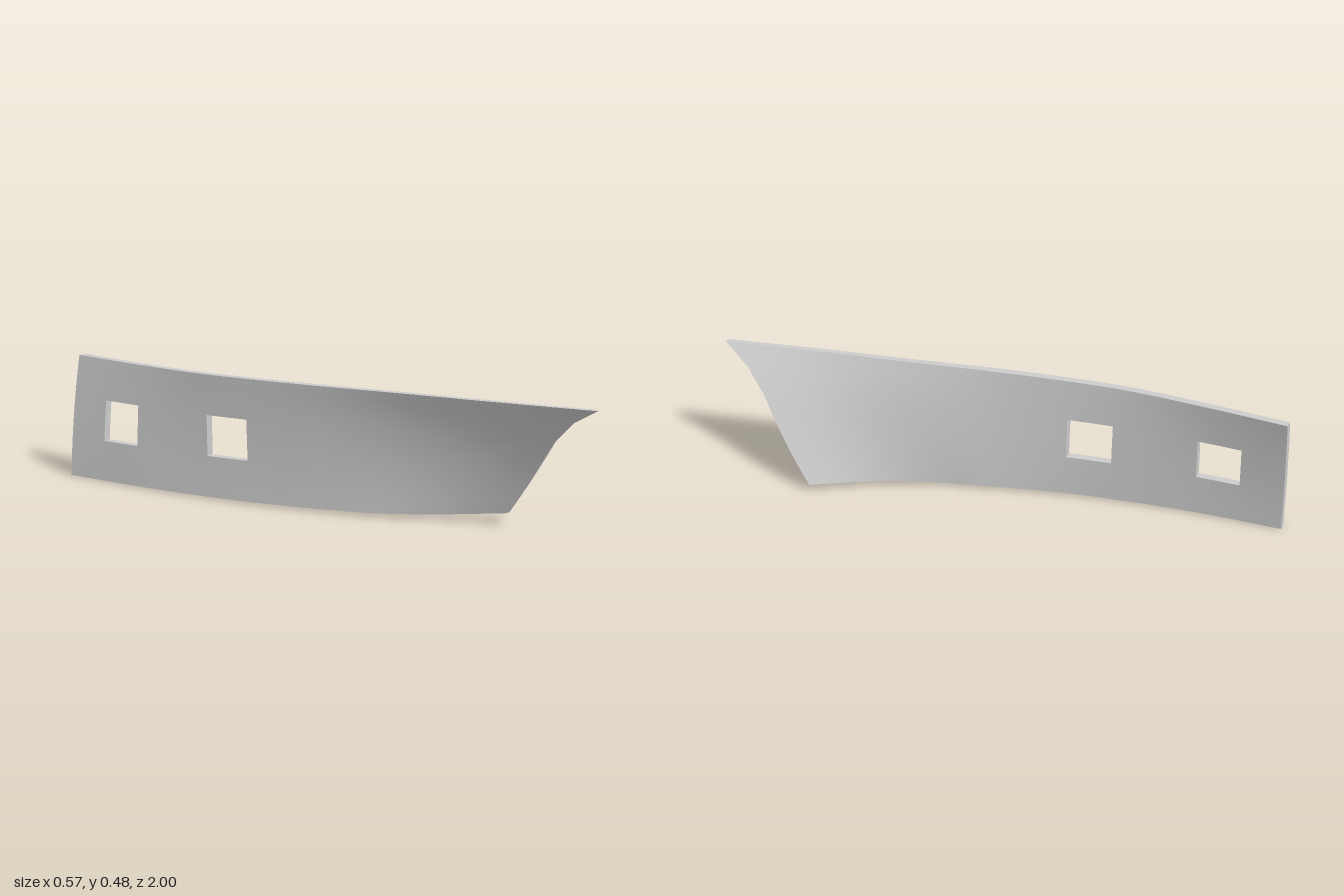
import * as THREE from 'three';
import { toCreasedNormals } from 'three/addons/utils/BufferGeometryUtils.js';

// Stations along the panel: below 0 they are plain z, from 0 to 1 they run to the raked front edge
const stations = [-1, -0.7, -0.4, -0.2, 0, 1 / 3, 2 / 3, 1];
const curve = (values) => new THREE.CubicInterpolant(stations, values, 1);
const bottomX = curve([-0.288, -0.247, -0.187, -0.135, -0.068, 0.01, 0.12, 0.267]);
const middleX = curve([-0.26, -0.232, -0.183, -0.138, -0.082, 0.012, 0.112, 0.235]);
const topX = curve([-0.222, -0.212, -0.188, -0.15, -0.105, -0.015, 0.072, 0.165]);
const bottomY = curve([0, 0.003, 0.005, 0.007, 0.009, 0.012, 0.02, 0.028]);
const topY = curve([0.46, 0.462, 0.465, 0.467, 0.469, 0.472, 0.475, 0.478]);
const at = (c, w) => c.evaluate(w)[0];

// Raked front edge: [height fraction, z]
const rake = [[0, 0.61], [0.52, 0.765], [0.67, 0.81], [0.85, 0.89], [1, 1]];
function frontZ(t) {
  const k = Math.max(1, rake.findIndex((r) => r[0] >= t));
  const [a, b] = [rake[k - 1], rake[k]];
  return THREE.MathUtils.mapLinear(t, a[0], b[0], a[1], b[1]);
}

// Point on the panel: w along it, t up it, side 0 is the -x face and 1 the +x face
function point(w, t, side) {
  const m = 0.55;
  const x = at(bottomX, w) * (t - m) * (t - 1) / m
    + at(middleX, w) * t * (t - 1) / (m * (m - 1))
    + at(topX, w) * t * (t - m) / (1 - m);
  const thick = THREE.MathUtils.lerp(0.028, 0.018, Math.max(0, w));
  return [
    x + side * thick,
    THREE.MathUtils.lerp(at(bottomY, w), at(topY, w), t),
    w <= 0 ? w : w * frontZ(t),
  ];
}

// Grid lines, with the window edges among them
const cols = [-1, -0.92, -0.845, -0.77, -0.69, -0.62, -0.54, -0.46, -0.39, -0.31, -0.23, -0.12, 0];
for (let k = 1; k <= 10; k++) cols.push(k / 10);
const rows = [0, 0.11, 0.22, 0.336, 0.43, 0.52, 0.67, 0.76, 0.85, 0.93, 1];
const windows = [[-0.845, -0.69], [-0.39, -0.23]];

function solid(i, j) {
  if (i < 0 || j < 0 || i >= cols.length - 1 || j >= rows.length - 1) return false;
  const w = (cols[i] + cols[i + 1]) / 2;
  const t = (rows[j] + rows[j + 1]) / 2;
  return !(t > 0.336 && t < 0.67 && windows.some(([a, b]) => w > a && w < b));
}

function panelGeometry() {
  const pos = [];
  const quad = (a, b, c, d) => pos.push(...a, ...b, ...c, ...a, ...c, ...d);
  for (let i = 0; i < cols.length - 1; i++) {
    for (let j = 0; j < rows.length - 1; j++) {
      if (!solid(i, j)) continue;
      const corners = [[i, j], [i + 1, j], [i + 1, j + 1], [i, j + 1]];
      const [near, far] = [0, 1].map((s) => corners.map(([u, v]) => point(cols[u], rows[v], s)));
      quad(...near);
      quad(...[...far].reverse());
      // Edge walls around the rim and inside the windows
      [[0, -1], [1, 0], [0, 1], [-1, 0]].forEach(([di, dj], k) => {
        const n = (k + 1) % 4;
        if (!solid(i + di, j + dj)) quad(near[n], near[k], far[k], far[n]);
      });
    }
  }
  const geometry = new THREE.BufferGeometry();
  geometry.setAttribute('position', new THREE.Float32BufferAttribute(pos, 3));
  return toCreasedNormals(geometry, 0.6);
}

export function createModel() {
  const group = new THREE.Group();
  group.name = 'curvedHullPanel';
  const panel = new THREE.Mesh(panelGeometry(), new THREE.MeshStandardMaterial({ color: 0xcccccc }));
  panel.name = 'panelWithWindows';
  group.add(panel);
  return group;
}
